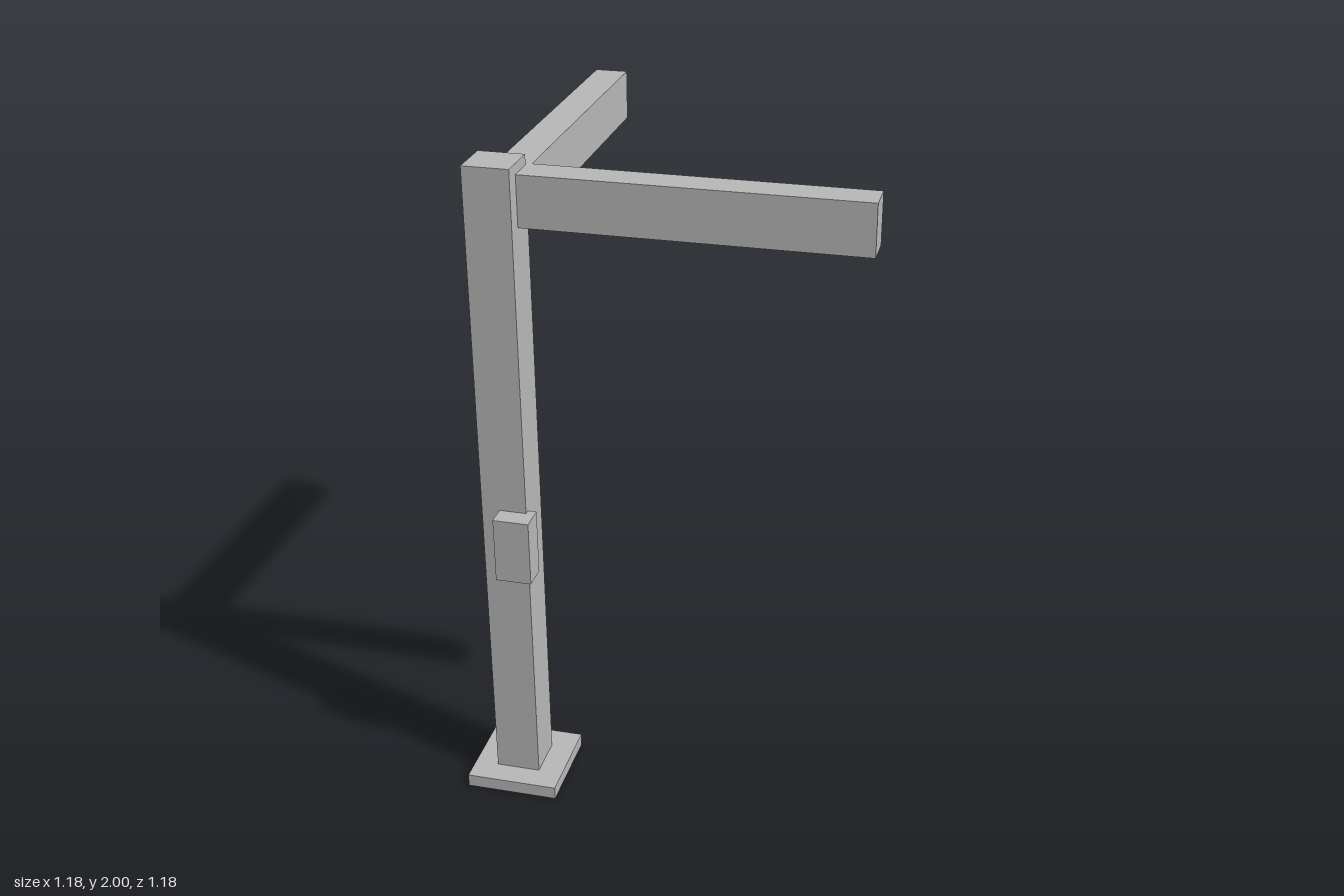
import * as THREE from 'three';

export function createModel() {
  const model = new THREE.Group();
  const paintedMetal = new THREE.MeshStandardMaterial({ color: 0xb8b8b8 });
  paintedMetal.name = 'grey metal';

  // Box given by its extents along each axis
  function addBox(name, [x0, x1], [y0, y1], [z0, z1]) {
    const mesh = new THREE.Mesh(new THREE.BoxGeometry(x1 - x0, y1 - y0, z1 - z0), paintedMetal);
    mesh.name = name;
    mesh.position.set((x0 + x1) / 2, (y0 + y1) / 2, (z0 + z1) / 2);
    model.add(mesh);
  }

  // Foot and upright
  addBox('basePlate', [-0.59, -0.308], [0, 0.04], [0.305, 0.588]);
  addBox('post', [-0.518, -0.383], [0.02, 2], [0.379, 0.514]);

  // Two horizontal arms at right angles, slightly offset from the post centre
  const armHeight = [1.82, 1.97];
  addBox('sideArm', [-0.4, 0.588], armHeight, [0.366, 0.465]);
  addBox('rearArm', [-0.468, -0.369], armHeight, [-0.59, 0.396]);

  // Control box on the front of the post
  addBox('controlBox', [-0.464, -0.357], [0.763, 0.963], [0.497, 0.575]);

  return model;
}
